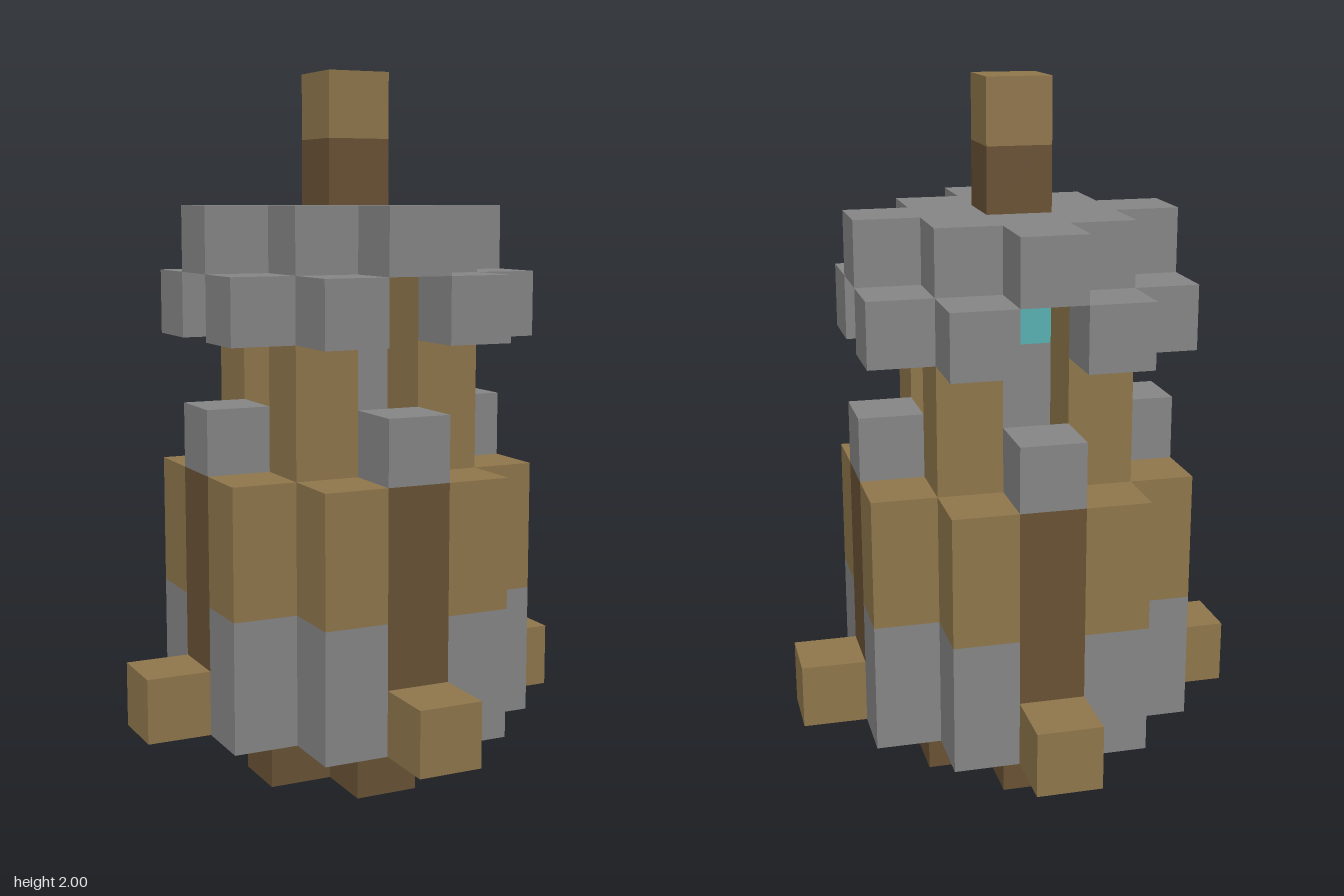
import * as THREE from 'three';

const U = 2 / 11; // edge of one block

export function createModel() {
  const group = new THREE.Group();
  const mat = (name, color) => {
    const m = new THREE.MeshStandardMaterial({ color });
    m.name = name;
    return m;
  };
  const stone = mat('stone grey', 0x888888);
  const wood = mat('light wood', 0x92784d);
  const darkWood = mat('dark wood', 0x6b5335);
  const glow = mat('turquoise glow', 0x5bb3b6);

  // Box centred on block (x, z), filling layers y0 up to y1, w by d blocks wide
  const block = (name, material, x, z, y0, y1, w = 1, d = 1) => {
    const mesh = new THREE.Mesh(new THREE.BoxGeometry(w * U, (y1 - y0) * U, d * U), material);
    mesh.position.set(x * U, ((y0 + y1) / 2) * U, z * U);
    mesh.name = name;
    group.add(mesh);
  };

  const sides = [[1, 0], [-1, 0], [0, 1], [0, -1]];
  const corners = [[1, 1], [1, -1], [-1, 1], [-1, -1]];

  // Centre line: base, body core, lamp post, lamp, roof and finial
  block('baseCentre', darkWood, 0, 0, 0, 1);
  block('bodyCore', darkWood, 0, 0, 1, 5, 3, 3);
  block('lampPost', stone, 0, 0, 5, 7);
  block('lamp', glow, 0, 0, 7, 8);
  block('roofTop', stone, 0, 0, 8, 9, 3, 3);
  block('finialStem', darkWood, 0, 0, 9, 10);
  block('finialTip', wood, 0, 0, 10, 11);

  // Parts repeated on the four sides
  for (const [x, z] of sides) {
    block('baseArm', darkWood, x, z, 0, 1);
    block('foot', wood, 3 * x, 3 * z, 1, 2);
    block('bodyPanel', darkWood, 2 * x, 2 * z, 1, 5);
    block('parapet', stone, 2 * x, 2 * z, 5, 6);
    block('roofArm', stone, 2 * x, 2 * z, 8, 9);
  }

  // Parts repeated on the four corners
  for (const [x, z] of corners) {
    block('pillar', wood, x, z, 5, 8);
    for (const [a, b] of [[2 * x, z], [x, 2 * z]]) {
      block('lowerWall', stone, a, b, 1, 3);
      block('upperWall', wood, a, b, 3, 5);
      block('eave', stone, a, b, 7, 8);
    }
  }
  return group;
}
